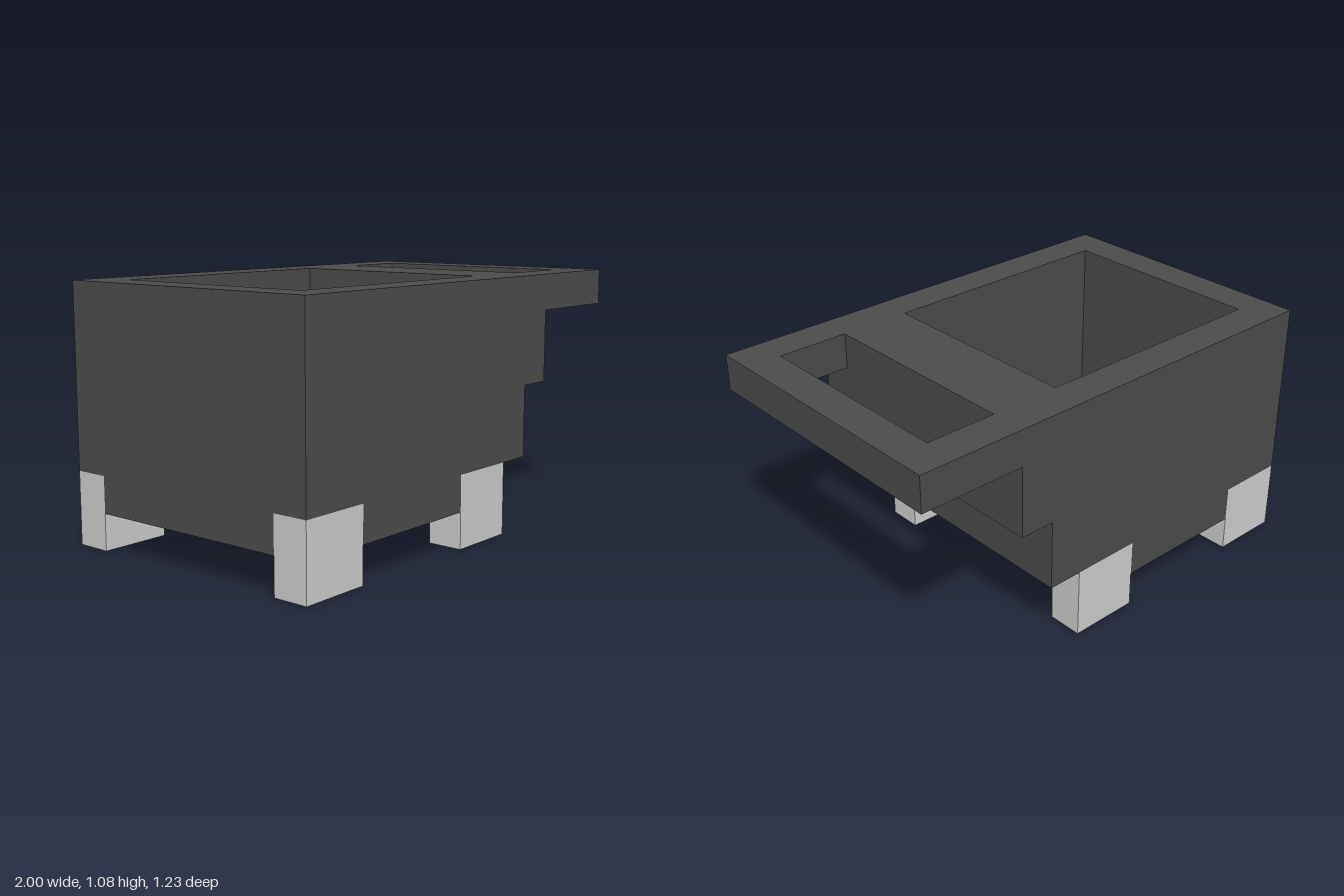
import * as THREE from 'three';

const U = 2 / 13; // one module of the block grid

const darkGrey = new THREE.MeshStandardMaterial({ color: 0x4b4b4b });
darkGrey.name = 'dark grey';
const lightGrey = new THREE.MeshStandardMaterial({ color: 0xcccccc });
lightGrey.name = 'light grey';

// All helpers take grid units: x from 0 (left end of front) to 13, z from -4 to 4.
// Outlines and holes run anticlockwise as seen from above.
const toPoints = (corners) => corners.map(([x, z]) => new THREE.Vector2((x - 6.5) * U, -z * U));
const rect = (x0, x1, z) => [[x0, z], [x1, z], [x1, -z], [x0, -z]];

// Horizontal slab from a plan outline with holes, between heights y0 and y1
function layer(name, outline, holes, y0, y1) {
  const shape = new THREE.Shape(toPoints(outline));
  for (const hole of holes) shape.holes.push(new THREE.Path(toPoints(hole)));
  const geometry = new THREE.ExtrudeGeometry(shape, { depth: (y1 - y0) * U, bevelEnabled: false });
  geometry.rotateX(-Math.PI / 2);
  geometry.translate(0, y0 * U, 0);
  const mesh = new THREE.Mesh(geometry, darkGrey);
  mesh.name = name;
  return mesh;
}

export function createModel() {
  const group = new THREE.Group();
  group.name = 'cart';

  const cavity = rect(1, 8, 3);
  const handleHole = rect(10, 12, 3);

  // Floor, notched at the corners and sides for the feet
  const floorOutline = [
    [0, 3], [2, 3], [2, 4], [6, 4], [6, 3], [8, 3],
    [8, -3], [6, -3], [6, -4], [2, -4], [2, -3], [0, -3],
  ];
  group.add(layer('floor', floorOutline, [], 1, 2));

  // Stepped walls around the open cavity
  group.add(layer('lowerWalls', rect(0, 9, 4), [cavity], 2, 4));
  group.add(layer('upperWalls', rect(0, 10, 4), [cavity], 4, 6));

  // Rim that runs on into the handle frame
  group.add(layer('rimAndHandle', rect(0, 13, 4), [cavity, handleHole], 6, 7));

  // Four feet, flush with the sides
  const footGeometry = new THREE.BoxGeometry(2 * U, 2 * U, U);
  for (const x of [1, 7]) {
    for (const z of [-3.5, 3.5]) {
      const foot = new THREE.Mesh(footGeometry, lightGrey);
      foot.name = 'foot';
      foot.position.set((x - 6.5) * U, U, z * U);
      group.add(foot);
    }
  }

  return group;
}
